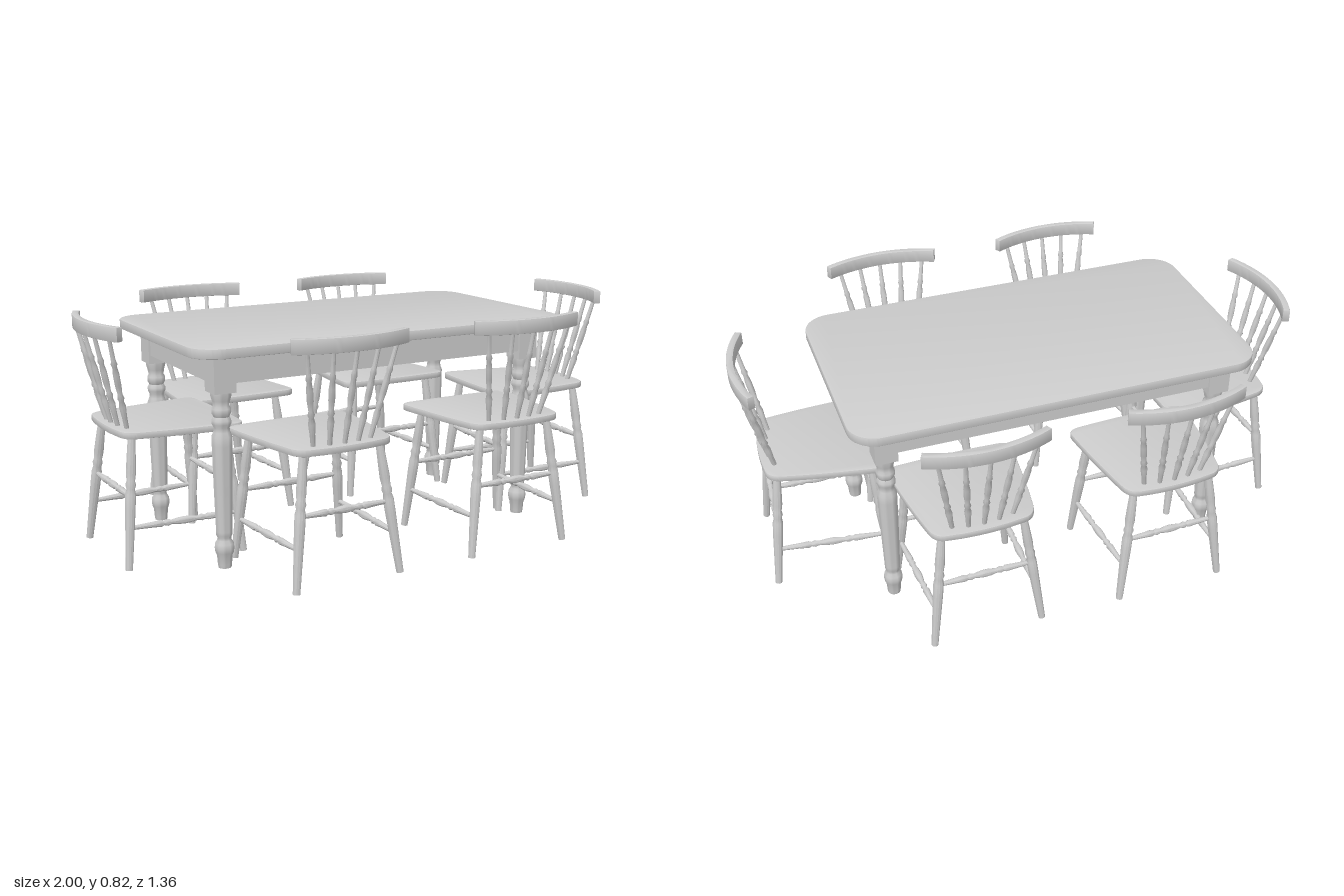
import * as THREE from 'three';
import { toCreasedNormals } from 'three/addons/utils/BufferGeometryUtils.js';

const material = new THREE.MeshStandardMaterial({ color: 0xcccccc });
const V = (x, y, z) => new THREE.Vector3(x, y, z);

function add(parent, name, geometry) {
  const mesh = new THREE.Mesh(geometry, material);
  mesh.name = name;
  parent.add(mesh);
  return mesh;
}

// Turned wooden piece from a to b; profile is [fraction of length, radius]
function turned(parent, name, a, b, profile, sides = 12) {
  const dir = b.clone().sub(a);
  const length = dir.length();
  const pts = [new THREE.Vector2(0, 0)];
  for (const [t, r] of profile) pts.push(new THREE.Vector2(r, t * length));
  pts.push(new THREE.Vector2(0, length));
  const geometry = toCreasedNormals(new THREE.LatheGeometry(pts, sides), 0.9);
  const mesh = add(parent, name, geometry);
  mesh.position.copy(a);
  mesh.quaternion.setFromUnitVectors(V(0, 1, 0), dir.normalize());
  return mesh;
}

// Flat plan shape (shape y = -z) raised from y0 to y1
function slab(parent, name, shape, y0, y1, bevel = 0) {
  const geometry = new THREE.ExtrudeGeometry(shape, {
    depth: y1 - y0 - 2 * bevel, curveSegments: 16, bevelEnabled: bevel > 0,
    bevelSize: bevel, bevelThickness: bevel, bevelOffset: -bevel, bevelSegments: 2,
  });
  geometry.rotateX(-Math.PI / 2).translate(0, y0 + bevel, 0);
  return add(parent, name, toCreasedNormals(geometry, 0.6));
}

const chairLeg = [[0, 0.012], [0.25, 0.015], [0.45, 0.0175], [0.56, 0.018], [0.6, 0.014],
  [0.63, 0.018], [0.66, 0.014], [0.72, 0.017], [0.85, 0.015], [1, 0.012]];
const spindle = [[0, 0.008], [0.15, 0.009], [0.27, 0.012], [0.33, 0.008], [0.36, 0.012],
  [0.4, 0.008], [0.5, 0.011], [0.62, 0.011], [0.7, 0.008], [0.73, 0.011], [0.77, 0.008], [1, 0.007]];
const stretcher = [[0, 0.007], [0.2, 0.01], [0.28, 0.012], [0.31, 0.008], [0.34, 0.012], [0.38, 0.008],
  [0.45, 0.012], [0.5, 0.013], [0.55, 0.012], [0.62, 0.008], [0.66, 0.012], [0.69, 0.008],
  [0.72, 0.012], [0.8, 0.01], [1, 0.007]];

// Chair around its seat centre, facing +z
function createChair(name) {
  const chair = new THREE.Group();
  chair.name = name;

  // Seat: wider at the front, rounded corners
  const seat = new THREE.Shape();
  seat.moveTo(-0.19, -0.21);
  seat.quadraticCurveTo(0, -0.222, 0.19, -0.21);
  seat.quadraticCurveTo(0.228, -0.205, 0.225, -0.17);
  seat.quadraticCurveTo(0.208, 0.02, 0.183, 0.15);
  seat.quadraticCurveTo(0.176, 0.195, 0.14, 0.203);
  seat.quadraticCurveTo(0, 0.226, -0.14, 0.203);
  seat.quadraticCurveTo(-0.176, 0.195, -0.183, 0.15);
  seat.quadraticCurveTo(-0.208, 0.02, -0.225, -0.17);
  seat.quadraticCurveTo(-0.228, -0.205, -0.19, -0.21);
  slab(chair, 'seat', seat, 0.441, 0.464, 0.004);

  // Curved crest rail
  const R = 0.5, half = 0.44, thick = 0.024, cy = 0.275 - R;
  const crest = new THREE.Shape();
  crest.absarc(0, cy, R, Math.PI / 2 - half, Math.PI / 2 + half, false);
  crest.absarc(0, cy, R - thick, Math.PI / 2 + half, Math.PI / 2 - half, true);
  slab(chair, 'crestRail', crest, 0.772, 0.82, 0.003);

  // Fanned back spindles
  for (let i = -2; i <= 2; i++) {
    const x = i * 0.081;
    const z = -(cy + Math.sqrt((R - thick / 2) ** 2 - x * x));
    turned(chair, 'backSpindle', V(i * 0.052, 0.455, -0.182 + 0.004 * i * i), V(x, 0.778, z), spindle, 10);
  }

  // Splayed legs
  const leg = (sx, sz) => sz > 0
    ? [V(sx * 0.208, 0.003, 0.2), V(sx * 0.165, 0.45, 0.155)]
    : [V(sx * 0.195, 0.003, -0.213), V(sx * 0.14, 0.45, -0.165)];
  const onLeg = (sx, sz, y) => {
    const [a, b] = leg(sx, sz);
    return a.lerp(b, y / 0.45);
  };
  for (const s of [-1, 1]) {
    turned(chair, 'frontLeg', ...leg(s, 1), chairLeg);
    turned(chair, 'backLeg', ...leg(s, -1), chairLeg);
    turned(chair, 'sideStretcher', onLeg(s, -1, 0.14), onLeg(s, 1, 0.14), stretcher, 10);
    turned(chair, 'crossStretcher', onLeg(-1, s, 0.245), onLeg(1, s, 0.245), stretcher, 10);
  }
  return chair;
}

function createTable() {
  const table = new THREE.Group();
  table.name = 'table';

  // Rounded top
  const w = 0.725, d = 0.402, r = 0.1;
  const top = new THREE.Shape();
  top.absarc(w - r, d - r, r, 0, Math.PI / 2);
  top.absarc(-w + r, d - r, r, Math.PI / 2, Math.PI);
  top.absarc(-w + r, -d + r, r, Math.PI, Math.PI * 1.5);
  top.absarc(w - r, -d + r, r, Math.PI * 1.5, Math.PI * 2);
  top.closePath();
  slab(table, 'tableTop', top, 0.727, 0.76, 0.003);

  // Apron boards, corner blocks and turned legs
  const lx = 0.605, lz = 0.293;
  const legProfile = [[0, 0.022], [0.02, 0.024], [0.07, 0.026], [0.09, 0.031], [0.115, 0.033], [0.14, 0.031],
    [0.16, 0.024], [0.175, 0.023], [0.19, 0.027], [0.21, 0.027], [0.45, 0.031], [0.7, 0.034], [0.75, 0.034],
    [0.775, 0.028], [0.8, 0.026], [0.82, 0.032], [0.84, 0.032], [0.86, 0.026], [0.88, 0.032],
    [0.905, 0.032], [0.92, 0.027], [0.95, 0.03], [0.98, 0.035], [1, 0.035]];
  for (const s of [-1, 1]) {
    add(table, 'longApron', new THREE.BoxGeometry(lx * 2, 0.097, 0.025)).position.set(0, 0.679, s * (lz + 0.02));
    add(table, 'shortApron', new THREE.BoxGeometry(0.025, 0.097, lz * 2)).position.set(s * (lx + 0.02), 0.679, 0);
    for (const t of [-1, 1]) {
      add(table, 'legBlock', new THREE.BoxGeometry(0.078, 0.128, 0.078)).position.set(s * lx, 0.664, t * lz);
      turned(table, 'tableLeg', V(s * lx, 0, t * lz), V(s * lx, 0.602, t * lz), legProfile, 24);
    }
  }
  table.position.set(-0.035, 0, -0.02);
  return table;
}

export function createModel() {
  const model = new THREE.Group();
  model.name = 'diningSet';
  model.add(createTable());

  // Chairs: name, x, z, turn
  const places = [
    ['frontRightChair', -0.362, 0.404, Math.PI + 0.03],
    ['frontLeftChair', 0.318, 0.404, Math.PI],
    ['backRightChair', -0.36, -0.406, 0.025],
    ['backLeftChair', 0.318, -0.406, 0.01],
    ['rightEndChair', -0.725, -0.042, Math.PI / 2 + 0.02],
    ['leftEndChair', 0.725, 0.045, -Math.PI / 2 - 0.07],
  ];
  for (const [name, x, z, turn] of places) {
    const chair = createChair(name);
    chair.position.set(x, 0, z);
    chair.rotation.y = turn;
    model.add(chair);
  }
  return model;
}
